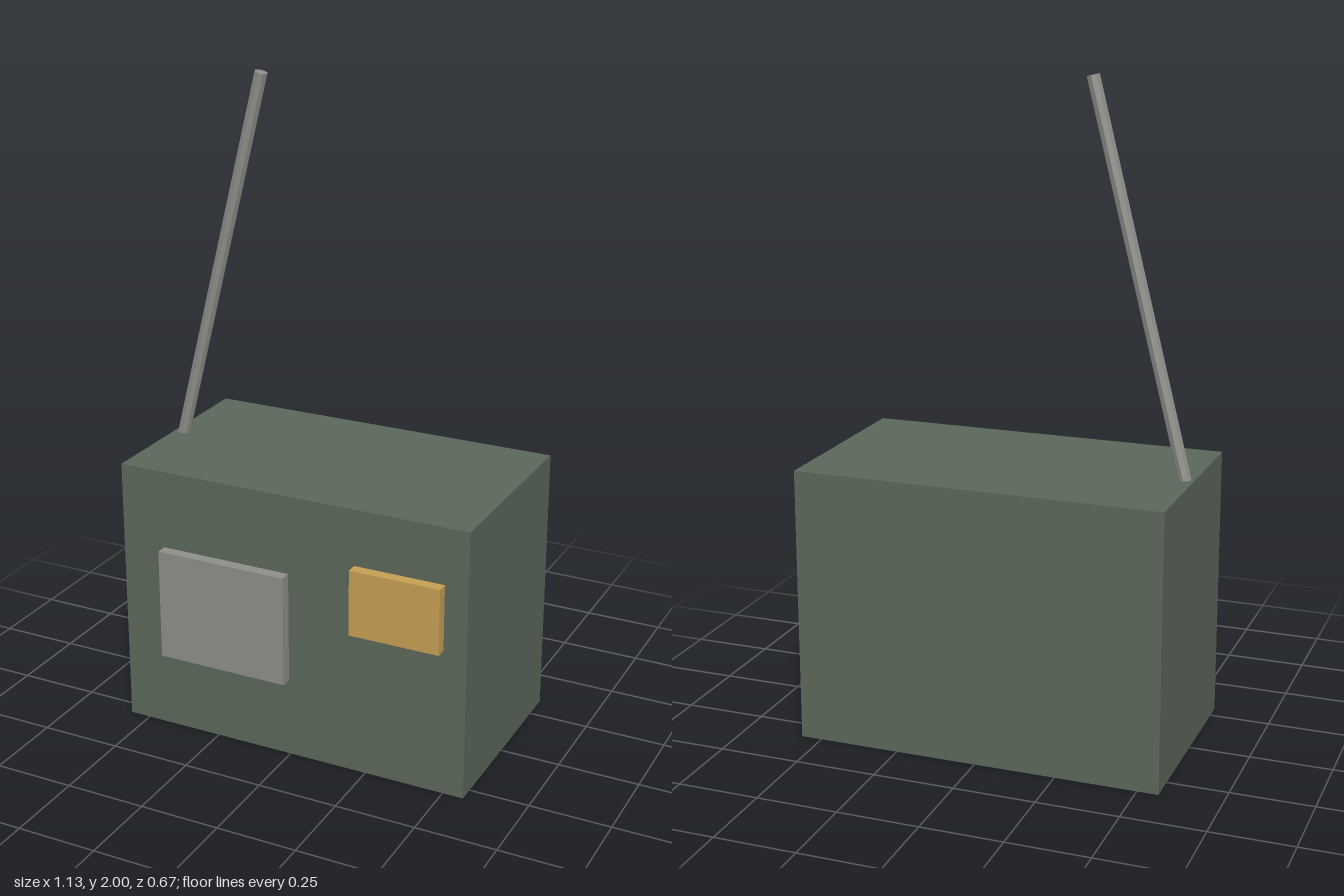
import * as THREE from 'three';

export function createModel() {
  const group = new THREE.Group();
  const mat = (name, color, flatShading = false) => {
    const m = new THREE.MeshStandardMaterial({ color, flatShading });
    m.name = name;
    return m;
  };
  const green = mat('olive green', 0x5c685b);
  const grey = mat('metal grey', 0x8f908b, true);
  const amber = mat('amber', 0xc8a055);

  // Box given by its lowest and highest corners
  const box = (name, material, [x0, y0, z0], [x1, y1, z1]) => {
    const mesh = new THREE.Mesh(new THREE.BoxGeometry(x1 - x0, y1 - y0, z1 - z0), material);
    mesh.position.set((x0 + x1) / 2, (y0 + y1) / 2, (z0 + z1) / 2);
    mesh.name = name;
    group.add(mesh);
  };

  box('body', green, [-0.565, 0, -0.335], [0.565, 0.846, 0.3]);
  box('speakerPanel', grey, [-0.424, 0.25, 0.29], [-0.003, 0.6, 0.335]);
  box('dialPanel', amber, [0.211, 0.465, 0.29], [0.493, 0.671, 0.335]);

  // Leaning antenna, its foot sunk slightly into the lid
  const foot = new THREE.Vector3(-0.54, 0.825, -0.018);
  const tip = new THREE.Vector3(-0.243, 1.995, -0.018);
  const antenna = new THREE.Mesh(
    new THREE.CylinderGeometry(0.02, 0.02, foot.distanceTo(tip), 8), grey);
  antenna.position.copy(foot).lerp(tip, 0.5);
  antenna.rotation.z = -Math.atan2(tip.x - foot.x, tip.y - foot.y);
  antenna.name = 'antenna';
  group.add(antenna);

  return group;
}
